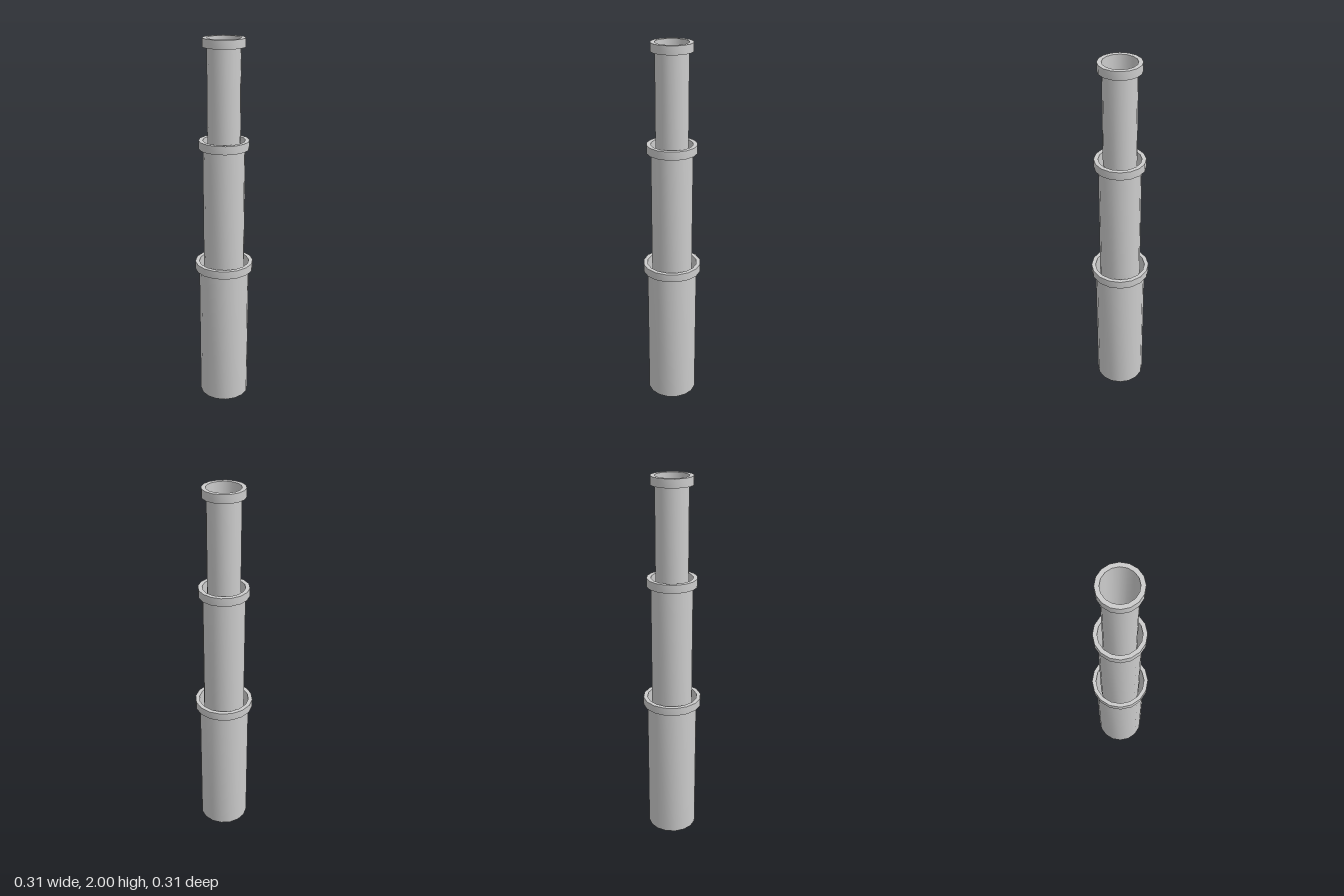
import * as THREE from 'three';
import { toCreasedNormals } from 'three/addons/utils/BufferGeometryUtils.js';

const SIDES = 16;
const COLLAR_HEIGHT = 0.044;
const COLLAR_WIDTH = 0.022;

// Revolve a profile of [radius, height] pairs, keeping its corners sharp
function revolve(points, material, name) {
  const profile = points.map(([r, y]) => new THREE.Vector2(r, y));
  const geometry = toCreasedNormals(new THREE.LatheGeometry(profile, SIDES), Math.PI / 5);
  const mesh = new THREE.Mesh(geometry, material);
  mesh.name = name;
  return mesh;
}

export function createModel() {
  const model = new THREE.Group();
  model.name = 'telescopingTube';
  const metal = new THREE.MeshStandardMaterial({ color: 0xcccccc, side: THREE.DoubleSide });
  metal.name = 'light grey metal';

  // Three open tubes, each sliding out of the one below
  const sections = [
    { name: 'lower', radius: 0.135, bottom: 0, top: 0.812 },
    { name: 'middle', radius: 0.11, bottom: 0.675, top: 1.487 },
    { name: 'upper', radius: 0.086, bottom: 1.188, top: 2 },
  ];
  for (const { name, radius, bottom, top } of sections) {
    const section = new THREE.Group();
    section.name = name + 'Section';
    section.add(revolve([[radius, bottom], [radius, top]], metal, name + 'Tube'));

    // Square-edged collar around the tube's upper rim
    const outer = radius + COLLAR_WIDTH;
    const base = top - COLLAR_HEIGHT;
    section.add(revolve([[radius, base], [outer, base], [outer, top], [radius, top]], metal, name + 'Collar'));
    model.add(section);
  }
  return model;
}
